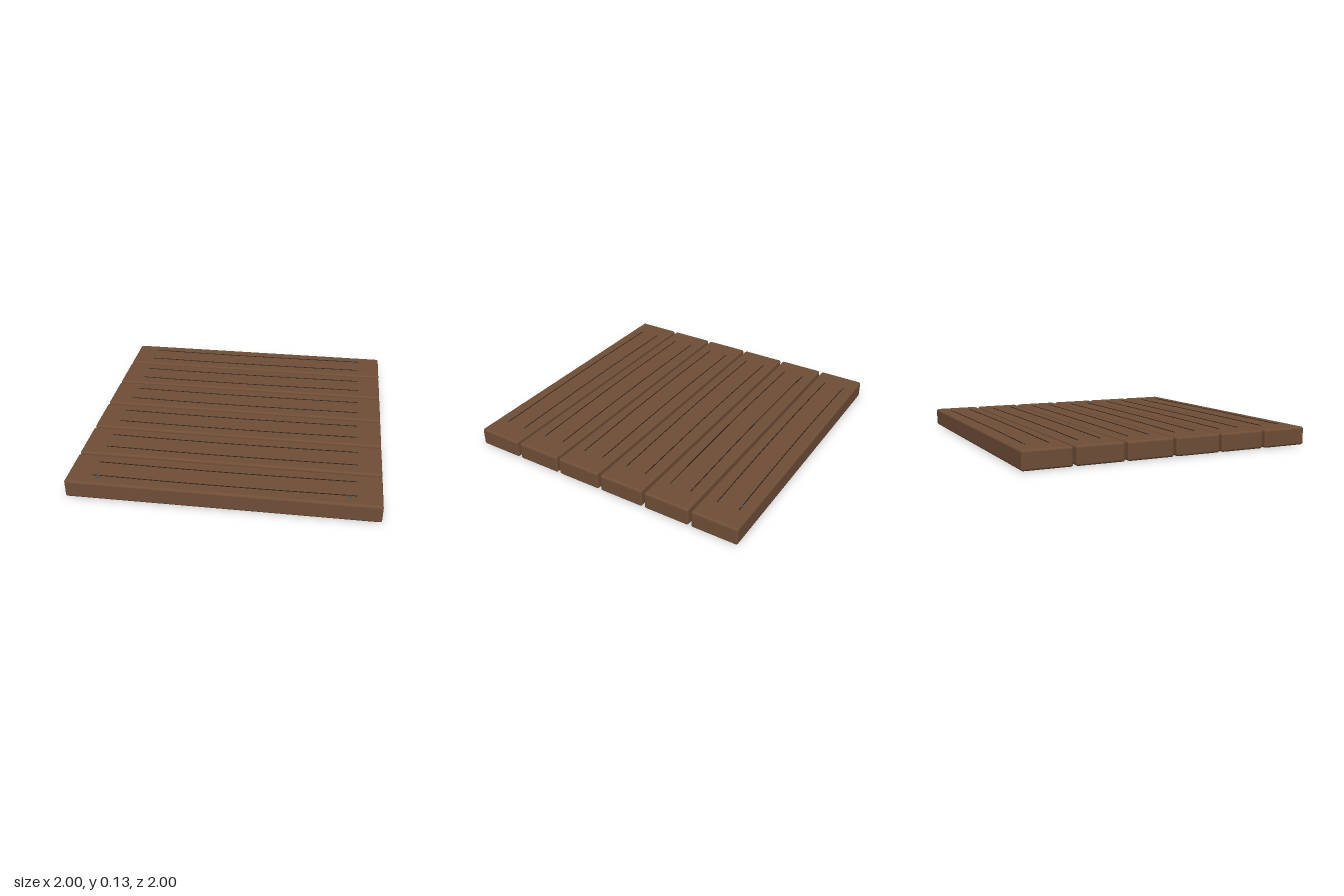
import * as THREE from 'three';
import { RoundedBoxGeometry } from 'three/addons/geometries/RoundedBoxGeometry.js';

const PLANKS = 6, DEPTH = 0.318, HEIGHT = 0.122;
const PITCH = (2 - DEPTH) / (PLANKS - 1);

export function createModel() {
  const group = new THREE.Group();
  const wood = new THREE.MeshStandardMaterial({ color: 0x6f4e37 });
  const dark = new THREE.MeshStandardMaterial({ color: 0x2e2018 });
  const metal = new THREE.MeshStandardMaterial({ color: 0x4a5058 });

  const add = (name, geometry, material, x, y, z) => {
    const mesh = new THREE.Mesh(geometry, material);
    mesh.name = name;
    mesh.position.set(x, y, z);
    group.add(mesh);
  };

  // Thin, gently bowed grain line shared by every plank
  const grainPath = new THREE.CatmullRomCurve3([
    new THREE.Vector3(-0.84, 0, -0.003),
    new THREE.Vector3(-0.3, 0, 0.004),
    new THREE.Vector3(0.2, 0, 0.003),
    new THREE.Vector3(0.84, 0, -0.007),
  ]);
  const grain = new THREE.TubeGeometry(grainPath, 24, 0.003, 6);
  const plank = new RoundedBoxGeometry(2, HEIGHT, DEPTH, 3, 0.015);

  // Planks with two grain lines each
  for (let i = 0; i < PLANKS; i++) {
    const z = (i - (PLANKS - 1) / 2) * PITCH;
    add('plank', plank, wood, 0, HEIGHT / 2, z);
    for (const side of [-1, 1]) {
      add('grainLine', grain, dark, 0, HEIGHT + 0.001, z + side * 0.074);
    }
  }

  // Nail heads near the four corners
  const nail = new THREE.CylinderGeometry(0.012, 0.012, 0.008, 8);
  for (const x of [-0.8, 0.8]) {
    for (const z of [-0.922, 0.922]) add('nailHead', nail, metal, x, HEIGHT, z);
  }
  return group;
}
